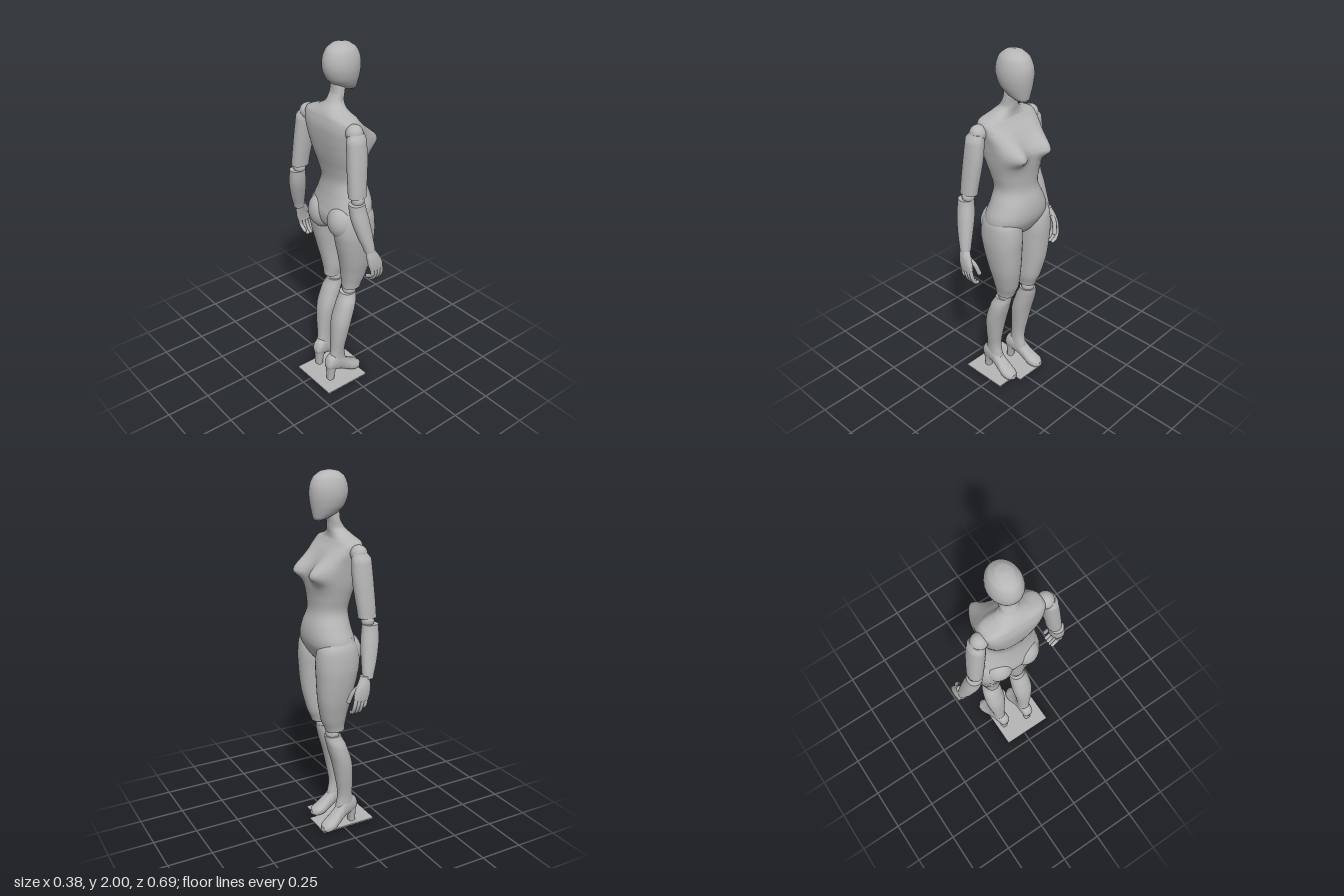
import * as THREE from 'three';
import { toCreasedNormals } from 'three/addons/utils/BufferGeometryUtils.js';

const grey = new THREE.MeshStandardMaterial({ color: 0xb6b6b6 });
grey.name = 'mannequin grey';

function add(parent, name, geometry, x = 0, y = 0, z = 0) {
  const mesh = new THREE.Mesh(geometry, grey);
  mesh.name = name;
  mesh.position.set(x, y, z);
  parent.add(mesh);
  return mesh;
}

function ball(parent, name, x, y, z, rx, ry = rx, rz = rx) {
  return add(parent, name, new THREE.SphereGeometry(1, 24, 16).scale(rx, ry, rz), x, y, z);
}

// Smooth interpolation between cross-section rows
function sample(rows, i, f) {
  const at = (k) => rows[Math.min(Math.max(k, 0), rows.length - 1)];
  const [p, q, r, s] = [at(i - 1), at(i), at(i + 1), at(i + 2)];
  return q.map((v, k) => {
    const m0 = (r[k] - p[k]) / 2, m1 = (s[k] - q[k]) / 2;
    if (k === 0) return v + (r[k] - v) * f;
    const f2 = f * f, f3 = f2 * f;
    return v * (2 * f3 - 3 * f2 + 1) + m0 * (f3 - 2 * f2 + f) + r[k] * (3 * f2 - 2 * f3) + m1 * (f3 - f2);
  });
}

// Loft through rows [t, a0, a1, z0, z1, squareness]; t runs along y (a = x) or along x (a = y)
function loft(rows, { alongX = false, sides = 32, steps = 4, warp } = {}) {
  const rings = [];
  for (let i = 0; i < rows.length - 1; i++) {
    for (let s = 0; s < steps; s++) rings.push(sample(rows, i, s / steps));
  }
  rings.push(rows[rows.length - 1]);
  const pos = [], index = [];
  const put = (t, a, z) => {
    const p = alongX ? new THREE.Vector3(t, a, z) : new THREE.Vector3(a, t, z);
    if (warp) warp(p);
    pos.push(p.x, p.y, p.z);
  };
  const pow = (v, e) => Math.sign(v) * Math.abs(v) ** e;
  for (const [t, a0, a1, z0, z1, e = 0.9] of rings) {
    for (let j = 0; j < sides; j++) {
      const th = (j / sides) * Math.PI * 2;
      put(t, (a0 + a1) / 2 + ((a1 - a0) / 2) * pow(Math.cos(th), e),
        (z0 + z1) / 2 + ((z1 - z0) / 2) * pow(Math.sin(th), e));
    }
  }
  const flip = (rows[0][0] > rows[rows.length - 1][0]) !== alongX;
  const tri = (a, b, c) => (flip ? index.push(a, c, b) : index.push(a, b, c));
  const last = (rings.length - 1) * sides, centre = rings.length * sides;
  for (const r of [rings[0], rings[rings.length - 1]]) put(r[0], (r[1] + r[2]) / 2, (r[3] + r[4]) / 2);
  for (let j = 0; j < sides; j++) {
    const k = (j + 1) % sides;
    for (let o = 0; o < last; o += sides) {
      tri(o + j, o + sides + j, o + k);
      tri(o + k, o + sides + j, o + sides + k);
    }
    tri(centre, j, k);
    tri(centre + 1, last + k, last + j);
  }
  const g = new THREE.BufferGeometry();
  g.setAttribute('position', new THREE.Float32BufferAttribute(pos, 3));
  g.setIndex(index);
  return toCreasedNormals(g, 0.9);
}

const centred = (rows) => rows.map(([y, x0, x1, h, e = 1]) => [y, x0, x1, -h, h, e]);
// Mirror a row list in z, with x and z shifts
const place = (rows, side, dx = 0, dz = 0) => rows.map(([y, x0, x1, z0, z1]) => side > 0
  ? [y, x0, x1, z0, z1, 0.9] : [y, x0 + dx, x1 + dx, -z1 - dz, -z0 - dz, 0.9]);

function addArm(body, side) {
  const arm = new THREE.Group();
  arm.name = side > 0 ? 'rightArm' : 'leftArm';
  body.add(arm);
  ball(arm, 'shoulderJoint', -0.04, 1.6, side * 0.188, 0.045);
  add(arm, 'upperArm', loft(place([
    [1.605, -0.08, 0.0, 0.175, 0.232], [1.58, -0.095, 0.008, 0.168, 0.248],
    [1.48, -0.102, 0.01, 0.175, 0.262], [1.38, -0.107, 0.0, 0.188, 0.272],
    [1.28, -0.11, -0.012, 0.202, 0.28]], side)));
  ball(arm, 'elbowJoint', -0.062, 1.262, side * 0.246, 0.034);
  add(arm, 'forearm', loft(place([
    [1.248, -0.115, -0.03, 0.213, 0.292], [1.16, -0.11, -0.015, 0.224, 0.31],
    [1.06, -0.085, -0.005, 0.255, 0.326], [0.98, -0.058, 0.0, 0.28, 0.336]], side)));
  // Hand with curled fingers and a thumb
  const hand = new THREE.Group();
  hand.name = 'hand';
  hand.position.x = side > 0 ? 0 : 0.02;
  arm.add(hand);
  add(hand, 'palm', loft(place([
    [0.995, -0.052, -0.006, 0.288, 0.332], [0.95, -0.056, 0.02, 0.3, 0.342],
    [0.9, -0.05, 0.042, 0.311, 0.345], [0.87, -0.04, 0.042, 0.314, 0.343]], side)));
  const finger = (name, points, r) => {
    const path = new THREE.CatmullRomCurve3(points.map(([x, y, z]) => new THREE.Vector3(x, y, side * z)));
    add(hand, name, new THREE.TubeGeometry(path, 10, r, 10));
    const [x, y, z] = points[points.length - 1];
    ball(hand, name + 'Tip', x, y, side * z, r);
  };
  for (let i = 0; i < 4; i++) {
    const x = -0.03 + i * 0.02, d = i === 0 ? 0.02 : 0;
    finger('finger', [[x, 0.89, 0.33], [x + 0.008, 0.84, 0.327], [x + 0.008, 0.805 + d, 0.308], [x + 0.006, 0.797 + d, 0.29]], 0.0105);
  }
  finger('thumb', [[0.0, 0.95, 0.318], [0.035, 0.91, 0.302], [0.05, 0.86, 0.288]], 0.012);
}

function addLeg(body, side) {
  const leg = new THREE.Group();
  leg.name = side > 0 ? 'rightLeg' : 'leftLeg';
  body.add(leg);
  add(leg, 'thigh', loft(place([
    [1.15, -0.04, 0.1, 0.07, 0.165], [1.1, -0.07, 0.142, 0.025, 0.188], [1.03, -0.085, 0.155, 0.008, 0.196],
    [0.95, -0.075, 0.154, 0.012, 0.194], [0.8, -0.042, 0.143, 0.02, 0.172],
    [0.68, -0.02, 0.118, 0.022, 0.142], [0.615, -0.014, 0.092, 0.035, 0.125]], side, 0.004, 0.01)));
  ball(leg, 'buttock', -0.03, 1.06, side * 0.083, 0.08, 0.1, 0.084);
  ball(leg, 'kneeJoint', side > 0 ? 0.03 : 0.055, 0.596, side > 0 ? 0.075 : -0.086, 0.038);
  add(leg, 'shin', loft(place([
    [0.585, -0.025, 0.065, 0.03, 0.118], [0.53, -0.05, 0.055, 0.025, 0.137], [0.42, -0.086, 0.025, 0.022, 0.142],
    [0.3, -0.097, 0.0, 0.034, 0.128], [0.2, -0.1, -0.014, 0.041, 0.112],
    [0.12, -0.115, 0.0, 0.04, 0.11]], side, 0.034, 0.012)));
  // High-heeled foot
  const foot = new THREE.Group();
  foot.name = 'foot';
  foot.position.set(side > 0 ? -0.06 : -0.026, 0, side > 0 ? 0.076 : -0.088);
  foot.rotation.y = side > 0 ? 0 : 0.2;
  leg.add(foot);
  add(foot, 'shoe', loft([
    [-0.075, 0.1, 0.14, -0.018, 0.018], [-0.065, 0.085, 0.165, -0.03, 0.03], [-0.03, 0.072, 0.19, -0.036, 0.036],
    [0.02, 0.055, 0.175, -0.036, 0.036], [0.06, 0.03, 0.125, -0.038, 0.038], [0.105, 0.009, 0.085, -0.044, 0.044],
    [0.145, 0.008, 0.062, -0.038, 0.038], [0.165, 0.014, 0.045, -0.018, 0.018]], { alongX: true }));
  add(foot, 'heel', loft([
    [0.006, -0.067, -0.03, -0.02, 0.02, 0.6], [0.06, -0.068, -0.022, -0.023, 0.023, 0.6],
    [0.12, -0.073, 0.0, -0.03, 0.03, 0.7]]));
}

export function createModel() {
  const body = new THREE.Group();
  body.name = 'mannequin';

  // Base: two overlapping thin plates under the feet
  add(body, 'basePlate', new THREE.BoxGeometry(0.325, 0.008, 0.175), -0.0325, 0.008, -0.0375);
  add(body, 'basePlate', new THREE.BoxGeometry(0.28, 0.008, 0.125), -0.055, 0.008, 0.1125);

  // Blank egg-shaped head
  add(body, 'head', loft(centred([
    [2.0, 0.02, 0.034, 0.006], [1.992, -0.022, 0.072, 0.04], [1.965, -0.056, 0.11, 0.068], [1.92, -0.074, 0.13, 0.083],
    [1.87, -0.074, 0.133, 0.085], [1.82, -0.054, 0.127, 0.074], [1.785, -0.015, 0.12, 0.057],
    [1.76, 0.035, 0.115, 0.038], [1.75, 0.07, 0.108, 0.02]])));

  // Neck, chest, waist and pelvis in one skin, with the bust pushed forward
  const bust = (p) => {
    if (p.x < 0) return;
    const dy = (p.y - 1.487) / (p.y > 1.487 ? 0.075 : 0.042), dz = (Math.abs(p.z) - 0.095) / 0.05;
    p.x += 0.055 * Math.exp(-dy * dy - dz * dz) * Math.min(1, p.x / 0.08);
  };
  add(body, 'torso', loft(centred([
    [1.82, -0.03, 0.055, 0.038], [1.75, -0.032, 0.036, 0.045], [1.705, -0.058, 0.032, 0.052], [1.675, -0.085, 0.028, 0.095, 0.85],
    [1.65, -0.1, 0.035, 0.165, 0.65], [1.6, -0.112, 0.075, 0.174, 0.6], [1.54, -0.111, 0.115, 0.166, 0.6],
    [1.49, -0.105, 0.142, 0.16, 0.65], [1.43, -0.094, 0.145, 0.152, 0.75], [1.36, -0.076, 0.138, 0.137, 0.85],
    [1.28, -0.062, 0.138, 0.124, 0.9], [1.2, -0.07, 0.162, 0.155, 0.9], [1.13, -0.085, 0.167, 0.184, 0.9],
    [1.08, -0.094, 0.152, 0.178, 0.9], [1.02, -0.08, 0.115, 0.12], [0.97, -0.03, 0.05, 0.03]]),
  { sides: 64, steps: 6, warp: bust }));

  for (const side of [1, -1]) {
    addArm(body, side);
    addLeg(body, side);
  }
  return body;
}
